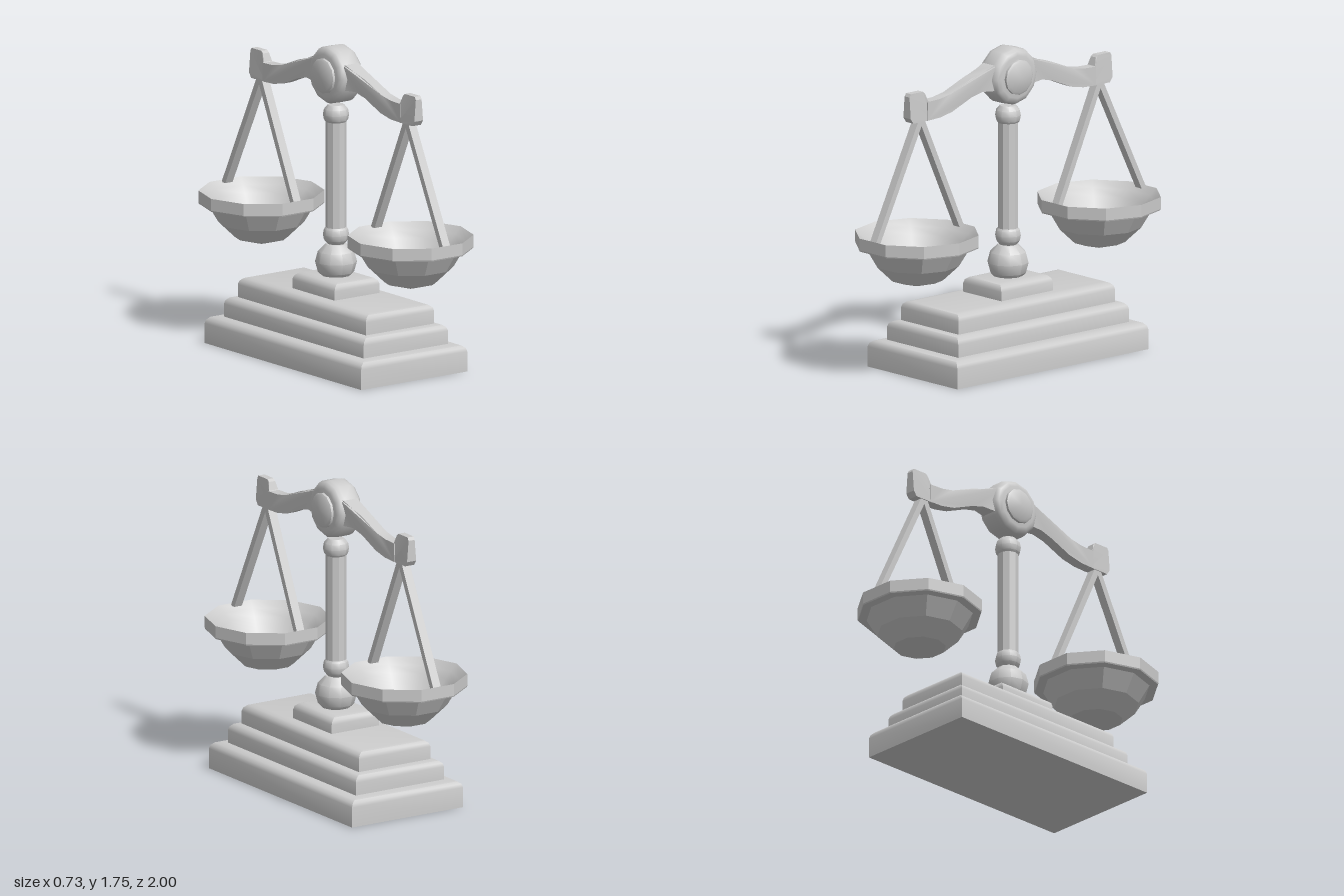
import * as THREE from 'three';
import { toCreasedNormals } from 'three/addons/utils/BufferGeometryUtils.js';

const grey = new THREE.MeshStandardMaterial({ color: 0xcccccc });

function part(name, geometry, crease, parent) {
  const mesh = new THREE.Mesh(toCreasedNormals(geometry, crease), grey);
  mesh.name = name;
  parent.add(mesh);
  return mesh;
}

// Turned part from [radius, y] pairs, with a corner on the x axis
function turned(points, sides) {
  return new THREE.LatheGeometry(points.map(([r, y]) => new THREE.Vector2(r, y)), sides, Math.PI / 2);
}

// Rectangular step with rounded top edges and mitred corners
function step(hx, hz, y0, y1) {
  const ix = 0.055, iz = 0.035, iy = 0.04;
  const rings = [[hx, hz, y0], [0, 0, y0], [0, 0, y1 - iy]];
  for (const a of [30, 60, 90].map(THREE.MathUtils.degToRad)) {
    const inset = 1 - Math.cos(a);
    rings.push([ix * inset, iz * inset, y1 - iy + iy * Math.sin(a)]);
  }
  rings.push([hx, hz, y1]);
  const g = new THREE.LatheGeometry(rings.map((r) => new THREE.Vector2(1, r[2])), 4, Math.PI / 4);
  const p = g.attributes.position;
  for (let i = 0; i < p.count; i++) {
    const [dx, dz] = rings[i % rings.length];
    p.setX(i, Math.sign(p.getX(i)) * (hx - dx));
    p.setZ(i, Math.sign(p.getZ(i)) * (hz - dz));
  }
  return g;
}

// Side outline of [z, y] pairs given thickness along x; halfWidth(z, y) shapes it
function slab(outline, halfWidth) {
  const shape = new THREE.Shape(outline.map(([z, y]) => new THREE.Vector2(-z, y)));
  const g = new THREE.ExtrudeGeometry(shape, { depth: 2, bevelEnabled: false });
  g.translate(0, 0, -1).rotateY(Math.PI / 2);
  const p = g.attributes.position;
  for (let i = 0; i < p.count; i++) {
    p.setX(i, Math.sign(p.getX(i)) * halfWidth(p.getZ(i), p.getY(i)));
  }
  return g;
}

// One arm of the balance, reaching along +z, with its hanging pan
function balanceSide(name) {
  const side = new THREE.Group();
  side.name = name;
  const centre = 0.672;

  part('beamArm', slab([
    [0.08, 1.685], [0.15, 1.67], [0.22, 1.642], [0.3, 1.62], [0.45, 1.56], [0.53, 1.545], [0.62, 1.542],
    [0.62, 1.437], [0.53, 1.44], [0.44, 1.458], [0.3, 1.515], [0.22, 1.535], [0.15, 1.53], [0.08, 1.52],
  ], (z) => (z < 0.25 ? 0.055 - (z - 0.08) * 0.14 : 0.031)), 0.5, side);

  part('beamEnd', slab([
    [0.595, 1.437], [0.595, 1.53], [0.615, 1.545], [0.63, 1.59], [0.645, 1.602],
    [0.735, 1.602], [0.745, 1.585], [0.745, 1.465], [0.725, 1.437],
  ], (z, y) => (y > 1.58 ? 0.02 : 0.03)), 0.5, side);

  // Two flat straps spreading from the beam end to the rim
  for (const s of [-1, 1]) {
    const outline = [[0.02, 1.45], [0.327, 0.8], [0.292, 0.8], [-0.018, 1.45]]
      .map(([z, y]) => [centre - 0.012 + s * z + (y < 1 ? 0.012 : 0), y]);
    part(s > 0 ? 'outerStrap' : 'innerStrap', slab(outline, () => 0.025), 0.5, side);
  }

  const outer = turned([
    [0, 0.51], [0.145, 0.55], [0.235, 0.635], [0.295, 0.735],
    [0.342, 0.738], [0.345, 0.745], [0.345, 0.812],
  ], 10);
  part('panOutside', outer, 0.15, side).position.z = centre;
  const inner = turned([
    [0.345, 0.812], [0.305, 0.775], [0.27, 0.735], [0.22, 0.655], [0.14, 0.585], [0.07, 0.556], [0, 0.546],
  ], 10);
  part('panInside', inner, 1, side).position.z = centre;
  return side;
}

export function createModel() {
  const model = new THREE.Group();
  model.name = 'balanceScale';

  // Stepped plinth
  const plinth = new THREE.Group();
  plinth.name = 'plinth';
  model.add(plinth);
  [[0.365, 0.705, 0, 0.152], [0.29, 0.63, 0.14, 0.264],
    [0.235, 0.577, 0.25, 0.375], [0.155, 0.19, 0.36, 0.465]]
    .forEach((s, i) => part(`plinthStep${i + 1}`, step(...s), 0.7, plinth));

  // Column with a ball foot and a ring at each end
  const ball = [[0, 0.43]];
  for (let a = -60; a <= 60; a += 30) {
    const t = THREE.MathUtils.degToRad(a);
    ball.push([0.115 * Math.cos(t), 0.54 + 0.115 * Math.sin(t)]);
  }
  ball.push([0, 0.645]);
  part('columnBall', turned(ball, 10), 0.65, model);
  const ring = (y) => turned([[0, y - 0.055], [0.045, y - 0.055], [0.066, y - 0.03],
    [0.072, y], [0.066, y + 0.03], [0.045, y + 0.055], [0, y + 0.055]], 10);
  part('lowerRing', ring(0.692), 0.65, model);
  part('upperRing', ring(1.366), 0.65, model);
  part('columnShaft', turned([[0.057, 0.68], [0.057, 1.38]], 10), 0.5, model);

  // Round hub with a shallow boss on both faces
  const hub = turned([[0, -0.08], [0.12, -0.08], [0.142, -0.074], [0.156, -0.058], [0.162, -0.035],
    [0.162, 0.035], [0.156, 0.058], [0.142, 0.074], [0.12, 0.08], [0, 0.08]], 12);
  part('hub', hub.rotateZ(Math.PI / 2), 0.7, model).position.y = 1.592;
  const boss = turned([[0, -0.112], [0.085, -0.102], [0.098, -0.094], [0.098, 0.094], [0.085, 0.102], [0, 0.112]], 12);
  part('hubBoss', boss.rotateZ(Math.PI / 2), 0.6, model).position.y = 1.592;

  model.add(balanceSide('frontBalance'));
  const back = balanceSide('backBalance');
  back.rotation.y = Math.PI;
  model.add(back);
  return model;
}
